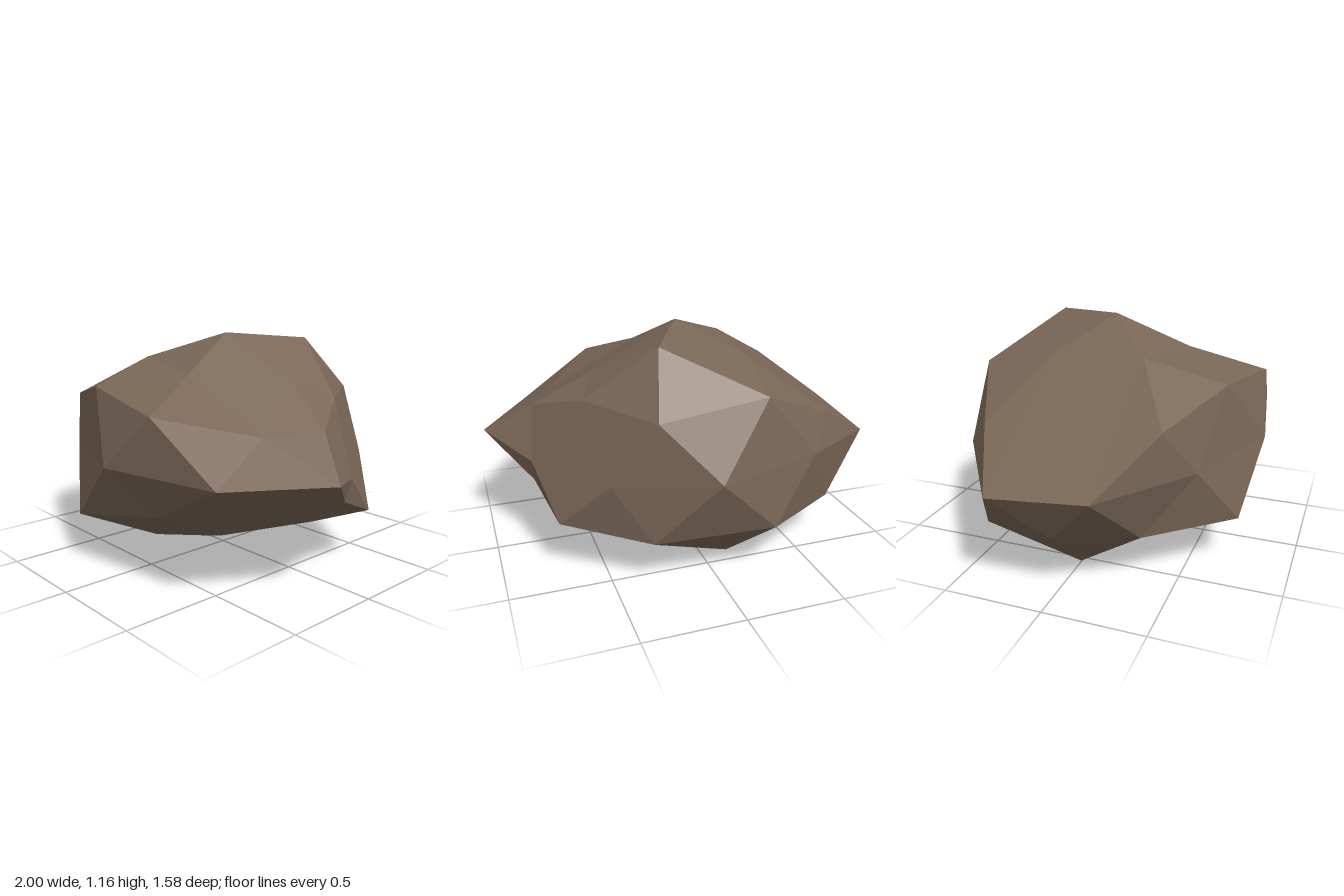
import * as THREE from 'three';
import { ConvexGeometry } from 'three/addons/geometries/ConvexGeometry.js';

// Corners of the boulder, grouped by height
const crown = [
  [0.01, 1.165, -0.01], [0.22, 1.13, -0.40], [-0.33, 1.03, 0.25], [-0.30, 1.0, -0.24],
  [0.46, 0.94, -0.05], [0.14, 0.99, 0.35],
];
const shoulder = [
  [-0.24, 0.915, 0.64], [-0.24, 0.915, -0.64], [0.33, 0.85, 0.73], [0.30, 0.85, -0.65],
  [-0.70, 0.81, 0.46], [-0.67, 0.72, -0.43], [0.56, 0.86, -0.25], [0.76, 0.76, 0.06], [0.63, 0.75, 0.33],
];
const waist = [
  [0.04, 0.575, 0.79], [0.04, 0.575, -0.79], [0.72, 0.59, 0.69], [1, 0.585, 0.235],
  [-1, 0.57, 0.24], [-1, 0.52, -0.26], [-0.53, 0.57, 0.58], [-0.53, 0.57, -0.59],
  [0.80, 0.515, -0.10], [0.79, 0.40, -0.07], [0.50, 0.53, -0.55],
];
const underside = [
  [-0.29, 0.255, 0.735], [0.25, 0.35, 0.64], [-0.65, 0.26, 0.35], [-0.71, 0.235, -0.42],
  [-0.87, 0.30, 0], [-0.27, 0.27, -0.71], [0.32, 0.24, -0.63],
  [0.72, 0.28, -0.36], [0.40, 0.15, -0.28], [-0.15, 0.085, 0.35],
  [-0.54, 0.005, 0], [-0.03, 0.02, 0], [-0.14, 0, -0.41],
];

// Join the corners on a rounded-out copy, so slightly hollow corners keep their place
function facetedGeometry(corners) {
  const centre = new THREE.Vector3(0, 0.57, 0);
  const points = corners.map((c) => new THREE.Vector3(...c));
  const rounded = points.map((p) => {
    const d = p.clone().sub(centre);
    return d.multiplyScalar(Math.pow(d.length(), -0.7));
  });
  const geometry = new ConvexGeometry(rounded.map((p) => p.clone()));
  const position = geometry.attributes.position;
  const v = new THREE.Vector3();
  for (let i = 0; i < position.count; i++) {
    v.fromBufferAttribute(position, i);
    let best = 0;
    rounded.forEach((p, k) => {
      if (p.distanceToSquared(v) < rounded[best].distanceToSquared(v)) best = k;
    });
    position.setXYZ(i, points[best].x, points[best].y, points[best].z);
  }
  geometry.computeVertexNormals();
  return geometry;
}

export function createModel() {
  const stone = new THREE.MeshStandardMaterial({ color: 0x7a6757, flatShading: true });
  stone.name = 'brown stone';

  const boulder = new THREE.Mesh(facetedGeometry([...crown, ...shoulder, ...waist, ...underside]), stone);
  boulder.name = 'boulder';

  const group = new THREE.Group();
  group.name = 'rock';
  group.add(boulder);
  return group;
}
